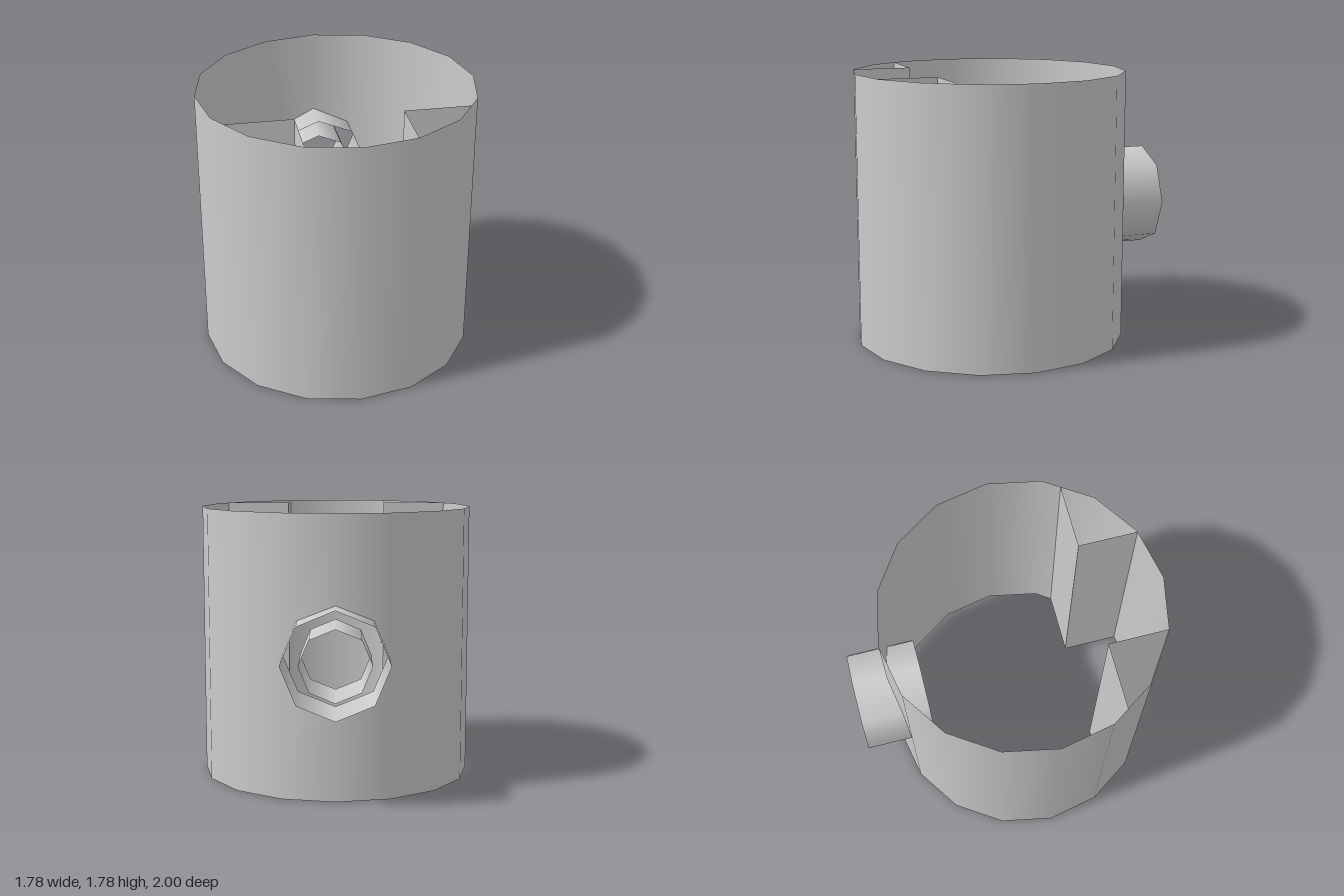
import * as THREE from 'three';

const U = 1 / 9;                 // design unit
const R = 8 * U, H = 16 * U;     // drum radius and height
const AXIS_Z = U;                // drum axis, set forward to balance the pipe
const MID = H / 2;

export function createModel() {
  const group = new THREE.Group();
  const mat = new THREE.MeshStandardMaterial({ color: 0xcccccc, side: THREE.DoubleSide });
  const add = (name, geo, x = 0, y = 0, z = 0) => {
    const mesh = new THREE.Mesh(geo, mat);
    mesh.name = name;
    mesh.position.set(x, y, z);
    group.add(mesh);
  };

  // Open 16-sided drum wall, leaving out the two rear facets
  const step = Math.PI / 8;
  add('drumWall', new THREE.CylinderGeometry(R, R, H, 14, 1, true, Math.PI + step, 14 * step), 0, MID, AXIS_Z);

  // Rear facets, each with half of the octagonal pipe opening cut out
  const facetX = R * Math.sin(step), facetZ = R * Math.cos(step);
  const pipeR = 3 * U;
  for (const side of [-1, 1]) {
    const shape = new THREE.Shape();
    shape.moveTo(0, -MID);
    shape.lineTo(side * facetX, -MID);
    shape.lineTo(side * facetX, MID);
    shape.lineTo(0, MID);
    for (let i = 0; i <= 4; i++) {
      const a = i * Math.PI / 4;
      shape.lineTo(i % 4 ? side * pipeR * Math.sin(a) : 0, pipeR * Math.cos(a));
    }
    const geo = new THREE.ShapeGeometry(shape);
    geo.rotateY(Math.PI);
    const p = geo.attributes.position, n = geo.attributes.normal;
    for (let i = 0; i < p.count; i++) {
      const x = p.getX(i);
      const z = -R + (R - facetZ) * Math.abs(x) / facetX;
      const len = Math.hypot(x, z);
      p.setZ(i, z);
      n.setXYZ(i, x / len, 0, z / len);
    }
    add(side > 0 ? 'rearFacetRight' : 'rearFacetLeft', geo, 0, MID, AXIS_Z);
  }

  // Concentric open pipes through the rear wall
  for (const [name, r] of [['outerPipe', pipeR], ['innerPipe', 2 * U]]) {
    const geo = new THREE.CylinderGeometry(r, r, 4 * U, 8, 1, true);
    geo.rotateX(Math.PI / 2);
    add(name, geo, 0, MID, -7 * U);
  }

  // Full-height square corners inside the front of the drum
  const tipX = 3 * U, tipZ = 4 * U;
  const endZ = facetZ - (tipX - facetX) * (R - facetZ) / (0 - facetX) * -1; // wall depth at tipX
  const v1 = [R * Math.sin(2 * step), R * Math.cos(2 * step)];
  const v2 = [R * Math.sin(3 * step), R * Math.cos(3 * step)];
  const endX = v1[0] + (v2[0] - v1[0]) * (tipZ - v1[1]) / (v2[1] - v1[1]); // wall reach at tipZ
  for (const side of [-1, 1]) {
    const name = side > 0 ? 'leftCorner' : 'rightCorner';
    const sidePlate = new THREE.PlaneGeometry(endZ - tipZ, H);
    sidePlate.rotateY(-side * Math.PI / 2);
    add(name + 'SidePlate', sidePlate, side * tipX, MID, AXIS_Z + (tipZ + endZ) / 2);
    const backPlate = new THREE.PlaneGeometry(endX - tipX, H);
    backPlate.rotateY(Math.PI);
    add(name + 'BackPlate', backPlate, side * (tipX + endX) / 2, MID, AXIS_Z + tipZ);
  }
  return group;
}
